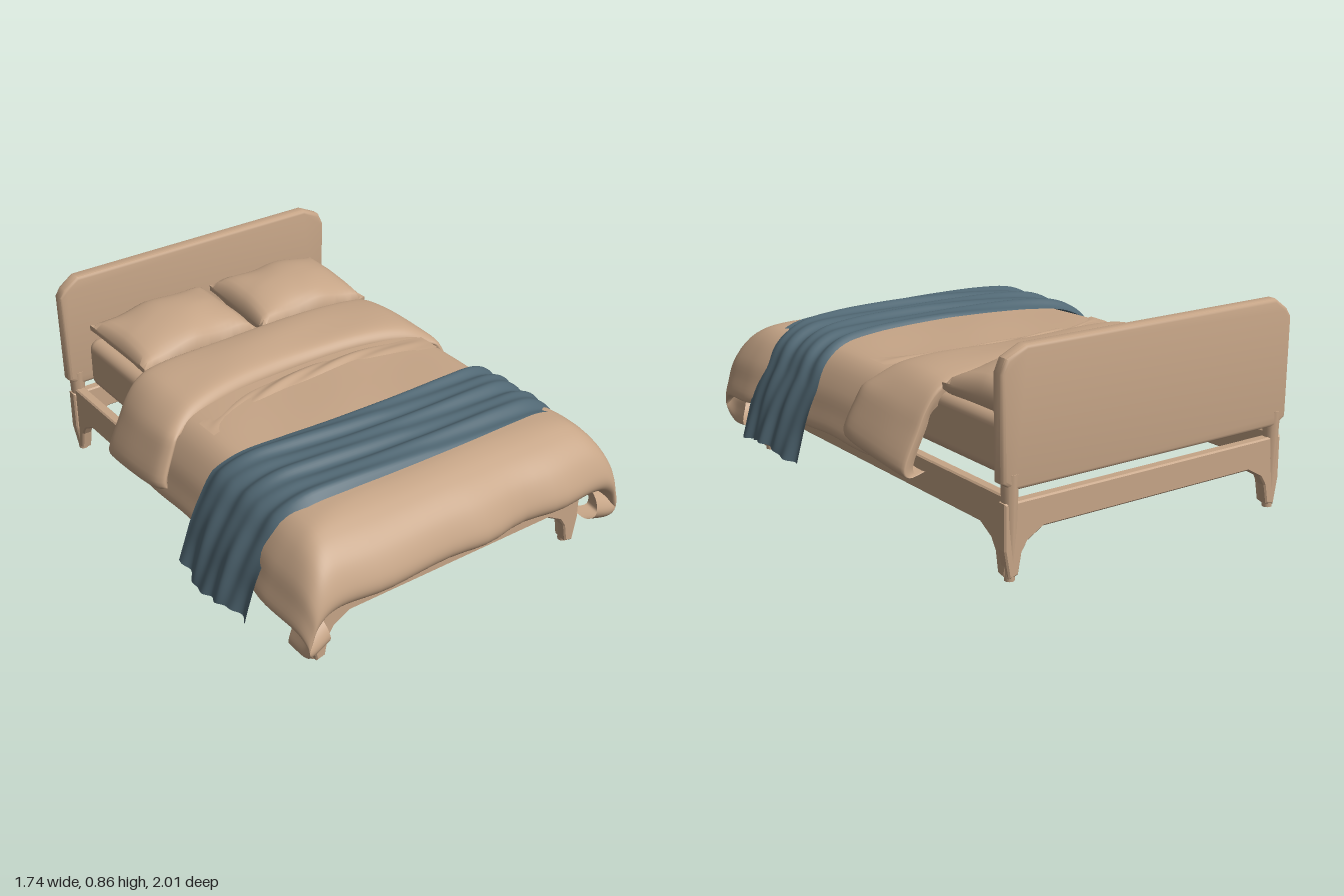
import * as THREE from 'three';
import { RoundedBoxGeometry } from 'three/addons/geometries/RoundedBoxGeometry.js';
import { ParametricGeometry } from 'three/addons/geometries/ParametricGeometry.js';
import { toCreasedNormals } from 'three/addons/utils/BufferGeometryUtils.js';

const tan = new THREE.MeshStandardMaterial({ color: 0xc6a587, side: THREE.DoubleSide });
tan.name = 'warm tan';
const slate = new THREE.MeshStandardMaterial({ color: 0x506773, side: THREE.DoubleSide });
slate.name = 'slate blue';

const spline = pts => new THREE.SplineCurve(pts.map(p => new THREE.Vector2(...p)));
const polygon = pts => new THREE.Shape(pts.map(p => new THREE.Vector2(...p)));

function add(parent, name, geometry, material = tan) {
  const mesh = new THREE.Mesh(geometry, material);
  mesh.name = name;
  parent.add(mesh);
  return mesh;
}

// Cloth sheet: u runs along z, s runs across from -1 at -x to +1 at +x
function cloth(place, nu, nv) {
  const geo = new ParametricGeometry((u, v, p) => place(u, v * 2 - 1, p), nu, nv);
  geo.computeVertexNormals();
  return geo;
}

// Rail panel with leg brackets flaring down at both ends
function railGeometry(half, thick, top) {
  const end = [[half - 0.17, 0.18], [half - 0.1, 0.14], [half - 0.075, 0.1], [half - 0.06, 0.02],
    [half - 0.02, 0.01], [half, 0.12], [half, top]];
  const mirrored = end.map(([x, y]) => [-x, y]).reverse();
  const geo = new THREE.ExtrudeGeometry(polygon([...mirrored, ...end]), {
    depth: thick - 0.012, bevelThickness: 0.006, bevelSize: 0.006, bevelOffset: -0.006, bevelSegments: 1 });
  return geo.translate(0, 0, -thick / 2 + 0.006);
}

// Soft cushion with pinched seams, fullest toward one side
function pillowGeometry(w, h, d, phase, lean) {
  const geo = new THREE.BoxGeometry(2, 2, 2, 20, 2, 20);
  const p = geo.attributes.position;
  for (let i = 0; i < p.count; i++) {
    const x = p.getX(i), y = p.getY(i), z = p.getZ(i);
    const puff = Math.pow((1 - x * x) * (1 - z * z), 0.45) * (1 + lean * x);
    const crease = 1 + 0.12 * Math.sin(5 * x + 3 * z + phase) * Math.abs(x * z);
    p.setXYZ(i,
      x * w * (1 - 0.05 * (1 - z * z)),
      y * (0.012 + h * puff * crease) + 0.012 * Math.sin(6 * x + phase) * z * z,
      z * d * (1 - 0.05 * (1 - x * x)));
  }
  return toCreasedNormals(geo, 0.9);
}

export function createModel() {
  const bed = new THREE.Group();
  bed.name = 'bed';

  // Headboard with softened corners
  const board = polygon([[-0.67, 0.38], [-0.63, 0.355], [0.63, 0.355], [0.67, 0.38], [0.675, 0.76],
    [0.655, 0.805], [0.58, 0.84], [-0.6, 0.84], [-0.655, 0.8], [-0.675, 0.77]]);
  const boardGeo = new THREE.ExtrudeGeometry(board, {
    depth: 0.03, bevelThickness: 0.015, bevelSize: 0.015, bevelSegments: 3 });
  add(bed, 'headboard', toCreasedNormals(boardGeo.translate(0, 0, -0.98), 0.7));

  // Rails
  const frame = new THREE.Group();
  frame.name = 'frame';
  bed.add(frame);
  add(frame, 'footRail', railGeometry(0.67, 0.045, 0.3)).position.z = 0.85;
  add(frame, 'headRail', railGeometry(0.67, 0.045, 0.295)).position.z = -0.965;
  for (const side of [-1, 1]) {
    const rail = add(frame, 'sideRail', railGeometry(0.925, 0.045, 0.318));
    rail.rotation.y = Math.PI / 2;
    rail.position.set(side * 0.636, 0, -0.06);
    // Tapered legs
    for (const z of [0.83, -0.965]) {
      const top = z > 0 ? 0.28 : 0.4;
      const leg = add(frame, z > 0 ? 'frontLeg' : 'backLeg',
        new THREE.CylinderGeometry(0.035, 0.02, top, 10));
      leg.position.set(side * 0.635, top / 2, z);
    }
  }

  // Mattress
  add(bed, 'mattress', new RoundedBoxGeometry(1.19, 0.225, 1.72, 4, 0.045)).position.set(0, 0.45, -0.06);

  // Pillows
  const left = add(bed, 'pillow', pillowGeometry(0.275, 0.1, 0.22, 0.5, 0));
  left.position.set(0.315, 0.598, -0.7);
  const right = add(bed, 'pillow', pillowGeometry(0.29, 0.1, 0.22, 2.2, 0.2));
  right.position.set(-0.28, 0.598, -0.7);
  left.rotation.set(0.05, -0.03, 0);
  right.rotation.set(0.05, 0.03, 0);

  // Duvet: separate side and foot drops combine into drooping corners
  const sideDrop = spline([[0, 0], [0.28, 0], [0.52, 0.008], [0.62, 0.045], [0.69, 0.14], [0.722, 0.23],
    [0.742, 0.3], [0.72, 0.315], [0.64, 0.29]]);
  const footDrop = spline([[-0.2, 0], [0.15, 0], [0.5, 0], [0.74, 0], [0.86, 0.035], [0.945, 0.1],
    [0.995, 0.19], [0.995, 0.25], [0.95, 0.285], [0.86, 0.27]]);
  add(bed, 'duvet', cloth((u, s, p) => {
    const a = sideDrop.getPoint(Math.abs(s)), f = footDrop.getPoint(u);
    const foot = THREE.MathUtils.smoothstep(f.x, 0.4, 0.75);
    const x = Math.sign(s) * a.x * (1 + 0.075 * foot - 0.6 * f.y * a.y);
    const z = f.x - 0.3 * f.y * a.y + 0.06 * f.y * Math.sin(x * 15 + 1) * (0.6 + 0.4 * Math.sin(x * 6));
    const wrinkle = 0.004 * Math.sin(9 * z + 4 * x) * Math.sin(7 * x + 2) + 0.02 * a.y * Math.sin(z * 14);
    const droop = Math.hypot(a.y, f.y) + 0.4 * a.y * f.y;
    p.set(x, 0.583 - droop + wrinkle, z);
  }, 64, 72));

  // Turned-back top of the duvet, a puffed band with hanging flaps
  const foldSide = spline([[0, 0], [0.3, 0.004], [0.5, 0.018], [0.6, 0.05], [0.68, 0.13], [0.73, 0.22],
    [0.778, 0.33], [0.76, 0.37], [0.69, 0.355]]);
  const foldEdge = spline([[0.03, 0.09], [0, 0.04], [0.03, 0.012], [0.3, 0], [0.6, 0.003],
    [0.86, 0.015], [0.97, 0.04], [1, 0.07], [0.94, 0.1]]);
  add(bed, 'duvetFold', cloth((u, s, p) => {
    const a = foldSide.getPoint(Math.abs(s)), e = foldEdge.getPoint(u);
    const slope = THREE.MathUtils.smoothstep(a.y, 0.02, 0.2);
    const front = -0.16 + 0.13 * Math.pow(Math.abs(a.x) / 0.775, 2);
    const x = Math.sign(s) * (a.x - slope * e.y * 0.7 + 0.02 * slope * (e.x - 0.5));
    const y = 0.645 - a.y - e.y * (1 - slope) + slope * 0.06 * (e.x - 0.3);
    p.set(x, y + 0.003 * Math.sin(8 * x + 5 * e.x), THREE.MathUtils.lerp(-0.47, front, e.x));
  }, 32, 64));

  // Rumpled sheet ridge below the fold
  const ridge = spline([[-0.58, 0.02], [-0.3, -0.07], [0, -0.1], [0.3, -0.09], [0.58, -0.02]]);
  add(bed, 'sheetRidge', cloth((u, s, p) => {
    const r = ridge.getPoint((s + 1) / 2);
    const lift = Math.sin(u * Math.PI) * (1 - s * s) * (0.016 + 0.005 * Math.sin(12 * s + 9 * u));
    p.set(r.x, 0.575 + lift, r.y - 0.04 + 0.11 * u);
  }, 12, 32));

  // Throw blanket draped across the foot
  const drape = spline([[0, 0.624], [0.2, 0.622], [0.4, 0.617], [0.56, 0.6], [0.67, 0.54],
    [0.735, 0.44], [0.78, 0.34], [0.81, 0.24], [0.835, 0.15]]);
  add(bed, 'throwBlanket', cloth((u, s, p) => {
    const a = drape.getPoint(Math.abs(s));
    const hang = THREE.MathUtils.smoothstep(Math.abs(s), 0.5, 1);
    const sag = Math.cos(Math.min(1, Math.abs(s - 0.06) * 1.8) * Math.PI / 2);
    const z = THREE.MathUtils.lerp(0.215 + 0.1 * sag, 0.685 + 0.055 * sag, u);
    const folds = 0.007 * Math.sin(u * 17 + 4 * s) + 0.006 * Math.sin(u * 33 - 5 * s + 1);
    const bulge = 0.025 * Math.sin(u * Math.PI) ** 2;
    const rim = 0.018 * Math.pow(Math.abs(2 * u - 1), 8);
    const y = a.y + (1 - hang) * (folds - rim) - hang * 0.015 * Math.sin(u * 7 + s);
    p.set(Math.sign(s) * (a.x + hang * (folds + bulge)), y, z);
  }, 64, 80), slate);

  return bed;
}
